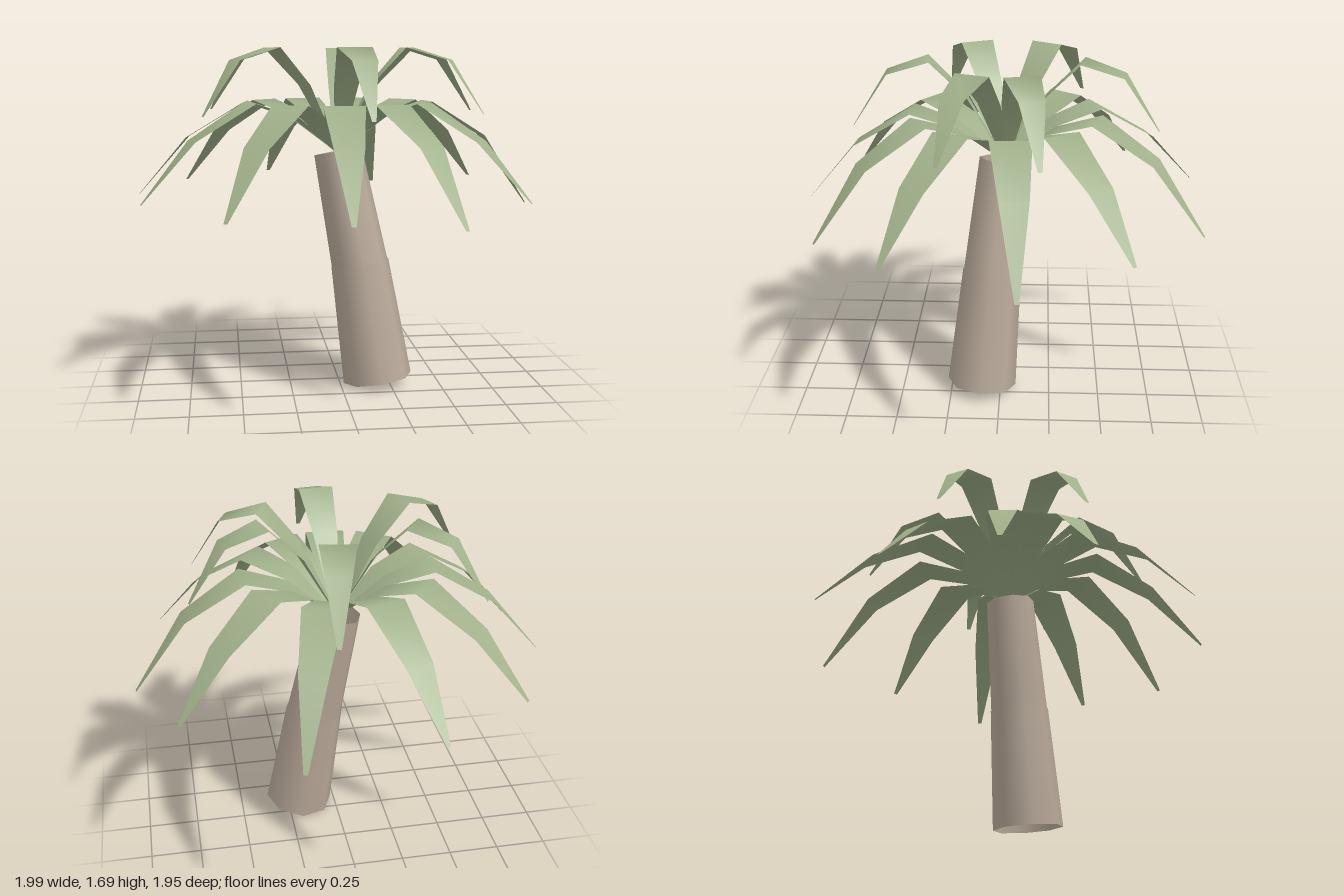
import * as THREE from 'three';

const bark = new THREE.MeshStandardMaterial({ color: 0xb9a999, side: THREE.DoubleSide });
bark.name = 'bark';
const green = new THREE.MeshStandardMaterial({ color: 0x9fb089, side: THREE.DoubleSide });
green.name = 'frond green';

const crown = new THREE.Vector3(0, 1.17, -0.02);

// Open tapered log between two points
function log(name, from, to, r0, r1) {
  const a = new THREE.Vector3(...from), b = new THREE.Vector3(...to);
  const dir = b.clone().sub(a);
  const mesh = new THREE.Mesh(new THREE.CylinderGeometry(r1, r0, dir.length(), 8, 1, true), bark);
  mesh.name = name;
  mesh.position.copy(a).add(b).multiplyScalar(0.5);
  mesh.quaternion.setFromUnitVectors(new THREE.Vector3(0, 1, 0), dir.normalize());
  return mesh;
}

// Arching strip from the crown to a tip; profile rows are [fraction of reach, height, width]
function frond(name, tip, profile) {
  const dx = tip[0] - crown.x, dz = tip[2] - crown.z, reach = Math.hypot(dx, dz);
  const side = [-dz / reach, dx / reach];
  const pos = [], index = [];
  profile.forEach(([f, h, w], i) => {
    const y = i === profile.length - 1 ? tip[1] : h;
    for (const s of [-0.5, 0.5]) {
      pos.push(crown.x + dx * f + side[0] * w * s, y, crown.z + dz * f + side[1] * w * s);
    }
    if (i > 0) {
      const k = i * 2;
      index.push(k - 2, k - 1, k, k - 1, k + 1, k);
    }
  });
  const geo = new THREE.BufferGeometry();
  geo.setAttribute('position', new THREE.Float32BufferAttribute(pos, 3));
  // Wind the strip so its upper face is the front
  for (let i = 0; i < index.length; i += 3) [index[i + 1], index[i + 2]] = [index[i + 2], index[i + 1]];
  geo.setIndex(index);
  geo.computeVertexNormals();
  if (geo.attributes.normal.getY(4) < 0) {
    geo.setIndex(index.reverse());
    geo.computeVertexNormals();
  }
  const mesh = new THREE.Mesh(geo, green);
  mesh.name = name;
  return mesh;
}

export function createModel() {
  const palm = new THREE.Group();
  palm.name = 'palmTree';

  // Leaning trunk in two logs, the upper one starting slightly inside the lower
  const trunk = new THREE.Group();
  trunk.name = 'trunk';
  trunk.add(
    log('lowerTrunk', [0.19, 0.03, 0.095], [0.105, 0.62, 0.045], 0.174, 0.146),
    log('upperTrunk', [0.107, 0.6, 0.046], [0, 1.18, -0.012], 0.143, 0.121)
  );
  palm.add(trunk);

  // Long drooping fronds, by tip
  const lowProfile = [[0, 1.17, 0.03], [0.23, 1.35, 0.15], [0.46, 1.425, 0.195], [0.75, 1.25, 0.135], [1, 0, 0.02]];
  const lowTips = [
    [-0.305, 0.98, -0.975], [0.31, 0.91, -0.97], [0.81, 0.98, -0.6], [0.995, 0.89, -0.1],
    [0.85, 0.97, 0.5], [0.46, 0.91, 0.86], [-0.045, 0.955, 0.97], [-0.57, 0.95, 0.8],
    [-0.96, 0.96, 0.27], [-0.995, 0.96, -0.15], [-0.77, 0.97, -0.665]
  ];
  const lower = new THREE.Group();
  lower.name = 'lowerFronds';
  lowTips.forEach((t, i) => lower.add(frond('lowerFrond' + (i + 1), t, lowProfile)));

  // Shorter upright fronds, by tip
  const highProfile = [[0, 1.17, 0.03], [0.26, 1.51, 0.12], [0.5, 1.69, 0.17], [0.77, 1.63, 0.12], [1, 0, 0.02]];
  const highTips = [
    [0.125, 1.37, -0.75], [0.715, 1.37, -0.19], [0.675, 1.37, 0.26],
    [0.075, 1.37, 0.71], [-0.665, 1.37, 0.29], [-0.63, 1.37, -0.41]
  ];
  const upper = new THREE.Group();
  upper.name = 'upperFronds';
  highTips.forEach((t, i) => upper.add(frond('upperFrond' + (i + 1), t, highProfile)));

  palm.add(lower, upper);
  return palm;
}
